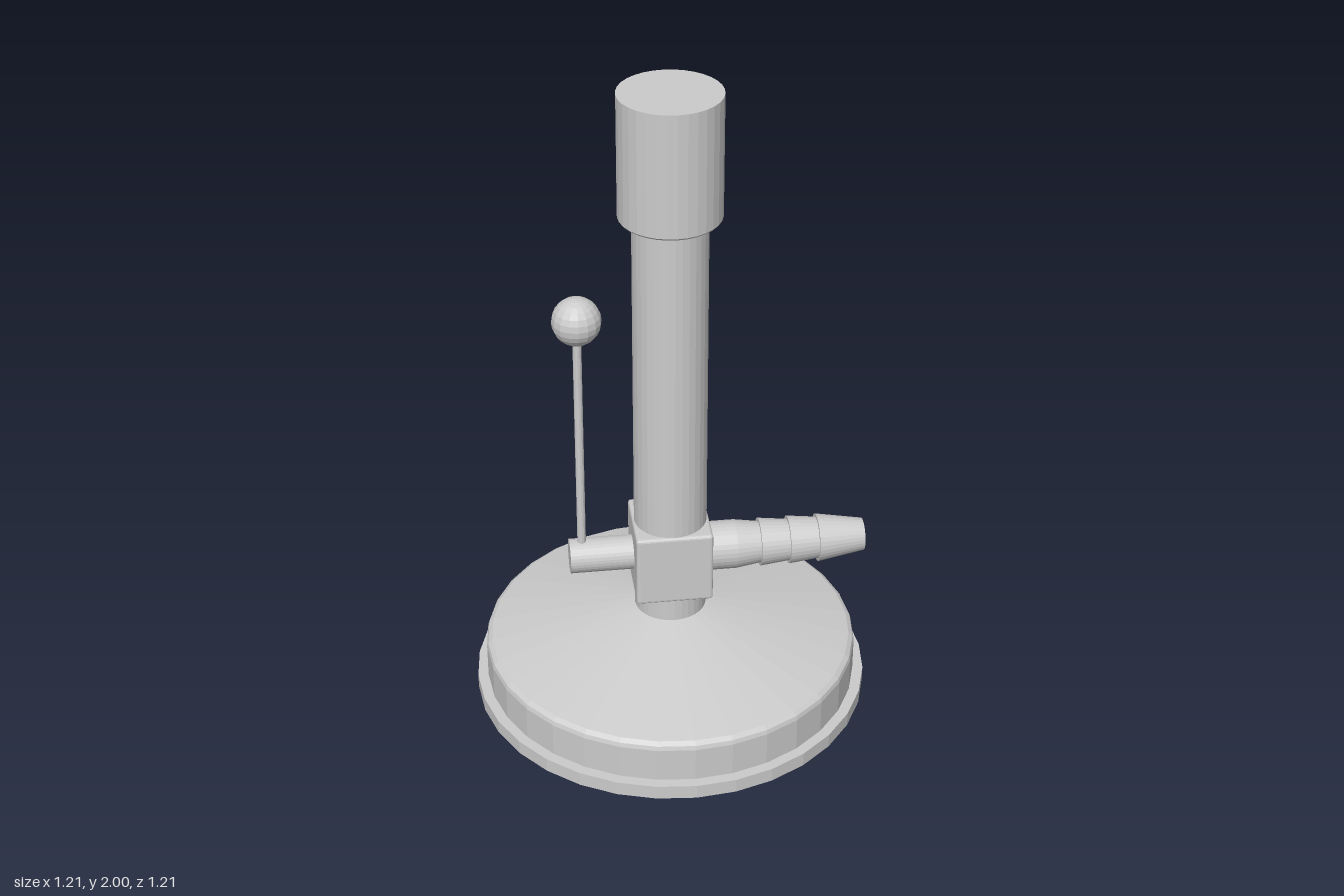
import * as THREE from 'three';
import { RoundedBoxGeometry } from 'three/addons/geometries/RoundedBoxGeometry.js';

const material = new THREE.MeshStandardMaterial({ color: 0xcccccc, flatShading: true });

export function createModel() {
  const model = new THREE.Group();
  model.name = 'gasBurner';

  const add = (name, geometry, x, y, z = 0) => {
    const mesh = new THREE.Mesh(geometry, material);
    mesh.name = name;
    mesh.position.set(x, y, z);
    model.add(mesh);
    return mesh;
  };
  // Profile points are [radius, height], from the bottom centre to the top centre
  const lathe = (points, sides) =>
    new THREE.LatheGeometry(points.map(([r, h]) => new THREE.Vector2(r, h)), sides);
  const rod = (r, length, sides) => new THREE.CylinderGeometry(r, r, length, sides);

  // Weighted foot: flange, upright skirt, softened shoulder, shallow cone
  add('base', lathe([
    [0, 0], [0.607, 0], [0.607, 0.045], [0.575, 0.045], [0.575, 0.155],
    [0.571, 0.168], [0.558, 0.178], [0.11, 0.283], [0, 0.283],
  ], 32), 0, 0);

  // Upright tube and the wider collar at its mouth
  add('neck', rod(0.11, 0.1, 32), 0, 0.32);
  add('barrel', rod(0.111, 1.08, 32), 0, 1.11);
  add('collar', lathe([
    [0, 0], [0.146, 0], [0.151, 0.006], [0.151, 0.38], [0, 0.38],
  ], 32), 0, 1.62);

  // Valve block with slightly rounded edges
  add('valveBlock', new RoundedBoxGeometry(0.234, 0.236, 0.234, 2, 0.01), 0, 0.474);

  // Ribbed hose connector: three tapering barbs, pointing to +x
  const barbs = [[0, 0], [0.075, 0], [0.075, 0.1]];
  for (const start of [0.175, 0.265, 0.355]) {
    barbs.push([0.064, start], [0.074, start]);
  }
  barbs.push([0.05, 0.5], [0, 0.5]);
  add('hoseConnector', lathe(barbs, 32), 0.1, 0.475).rotation.z = -Math.PI / 2;

  // Valve spindle with its upright lever and ball knob
  add('valveSpindle', rod(0.053, 0.22, 32), -0.2, 0.475).rotation.z = Math.PI / 2;
  add('leverRod', rod(0.013, 0.8, 12), -0.272, 0.87);
  add('leverKnob', new THREE.SphereGeometry(0.073, 16, 12), -0.272, 1.3);

  return model;
}
